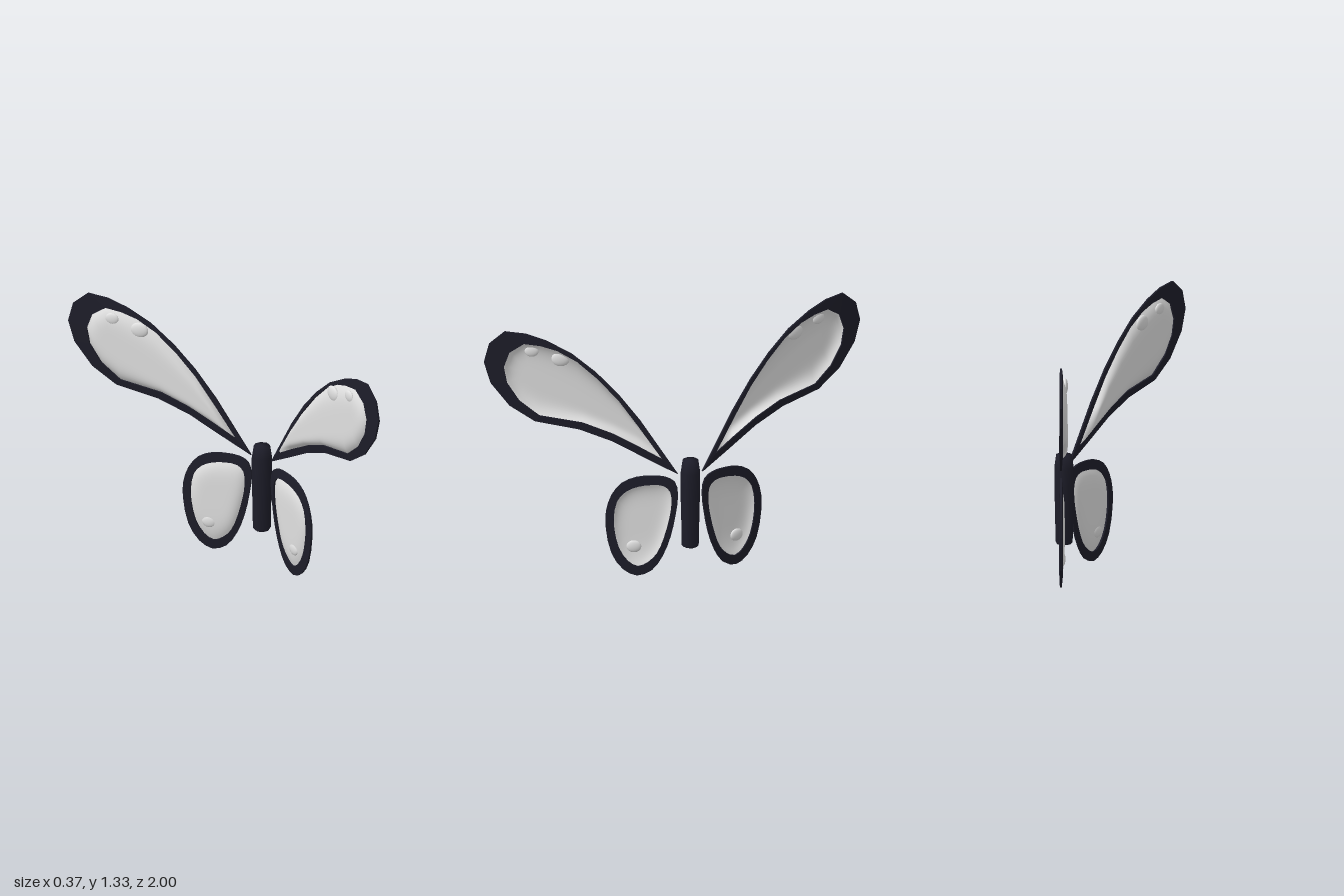
import * as THREE from 'three';

// Round off a closed outline with twice as many points
function smooth(points) {
  const curve = new THREE.CatmullRomCurve3(points.map(([u, v]) => new THREE.Vector3(u, v, 0)), true);
  const n = points.length * 2;
  return Array.from({ length: n }, (_, i) => curve.getPoint(i / n).toArray());
}

// Outlines as [distance from body, height], running over the top, outwards and back below
const UPPER = {
  outer: [[.065, .556], [.246, .845], [.353, .99], [.46, 1.107], [.578, 1.209], [.7, 1.278], [.8, 1.315], [.9, 1.327],
    [.975, 1.26], [1, 1.16], [.968, 1.048], [.877, .925], [.754, .84], [.54, .797], [.38, .733], [.22, .642]],
  inner: [[.139, .636], [.257, .818], [.348, .952], [.449, 1.07], [.551, 1.166], [.647, 1.225], [.727, 1.251], [.807, 1.262],
    [.877, 1.214], [.904, 1.134], [.888, 1.048], [.829, .952], [.733, .872], [.524, .834], [.38, .775], [.246, .7]],
  spine: [[.3, .81], [.78, 1.08]], cup: [.036, .03],
  spots: [[.77, 1.213, .034, -.021], [.63, 1.172, .045, -.021]],
};
const LOWER = {
  outer: smooth([[.267, .537], [.337, .503], [.385, .439], [.412, .348], [.412, .257], [.385, .123], [.33, .037], [.262, .002],
    [.19, .032], [.139, .107], [.1, .214], [.075, .337], [.064, .444], [.08, .513], [.128, .54], [.19, .545]]),
  inner: smooth([[.257, .487], [.315, .46], [.358, .406], [.374, .31], [.369, .24], [.348, .15], [.305, .08], [.257, .053],
    [.209, .075], [.166, .123], [.134, .203], [.107, .31], [.096, .39], [.102, .46], [.134, .492], [.19, .497]]),
  spine: [[.22, .3], [.26, .3]], cup: [.02, .02],
  spots: [[.277, .155, .036, -.012]],
};

// Swept-back wing plane: u outwards, v up, w along the plane normal, s the side
const place = (u, v, w, s) => [.153 - .333 * u + .949 * w, v, s * (u + .316 * w)];

// Skin a ring of rows; every row is a closed or open list across the strip
function skin(rows, side, closed) {
  const n = rows.length, m = rows[0].length, index = [];
  for (let j = 0; j < n; j++) {
    for (let k = 0; k < (closed ? m : m - 1); k++) {
      const j2 = (j + 1) % n, k2 = (k + 1) % m;
      const a = j * m + k, b = j2 * m + k, c = j2 * m + k2, d = j * m + k2;
      if (side > 0) index.push(a, b, c, a, c, d);
      else index.push(a, c, b, a, d, c);
    }
  }
  const geometry = new THREE.BufferGeometry();
  geometry.setAttribute('position', new THREE.Float32BufferAttribute(rows.flat(2), 3));
  geometry.setIndex(index);
  return geometry;
}

// Dark border with a thin outer edge
function rimGeometry({ outer, inner }, s) {
  const rows = outer.map(([u, v], j) => {
    const [iu, iv] = inner[j];
    return [place(u, v, .005, s), place(iu, iv, .008, s), place(iu, iv, -.01, s), place(u, v, -.005, s)];
  });
  const geometry = skin(rows, s, true).toNonIndexed();
  geometry.computeVertexNormals();
  return geometry;
}

// Cupped sheet that sinks from the border to a flat-bottomed central spine
function membraneGeometry({ inner, spine: [p, q], cup }, s) {
  const steps = 12;
  const rows = inner.map(([u, v]) => {
    const f = THREE.MathUtils.clamp((u - p[0]) / (q[0] - p[0]), 0, 1);
    const cu = p[0] + (q[0] - p[0]) * f, cv = p[1] + (q[1] - p[1]) * f;
    const depth = cup[0] + (cup[1] - cup[0]) * f;
    return Array.from({ length: steps + 1 }, (_, i) => {
      const t = 1 - i / steps;
      return place(cu + (u - cu) * t, cv + (v - cv) * t, -depth * (1 - t ** 5), s);
    });
  });
  const geometry = skin(rows, s, false);
  geometry.computeVertexNormals();
  return geometry;
}

export function createModel() {
  const dark = new THREE.MeshStandardMaterial({ color: 0x1d1d29 });
  dark.name = 'dark body';
  const pale = new THREE.MeshStandardMaterial({ color: 0xe0e0e0, side: THREE.DoubleSide });
  pale.name = 'pale membrane';

  const model = new THREE.Group();
  model.name = 'butterfly';
  const add = (parent, name, geometry, material) => {
    const mesh = new THREE.Mesh(geometry, material);
    mesh.name = name;
    parent.add(mesh);
    return mesh;
  };

  // Eight-sided body, slightly narrower at the ends
  const profile = [[0, .15], [.036, .157], [.046, .168], [.048, .3], [.052, .45], [.052, .56], [.042, .626], [0, .63]];
  const body = add(model, 'body', new THREE.LatheGeometry(profile.map(([r, y]) => new THREE.Vector2(r, y)), 8), dark);
  body.position.x = .135;

  // Two pairs of wings
  for (const s of [1, -1]) {
    for (const [name, shape] of [['upperWing', UPPER], ['lowerWing', LOWER]]) {
      const wing = new THREE.Group();
      wing.name = name + (s > 0 ? 'Front' : 'Back');
      model.add(wing);
      add(wing, 'rim', rimGeometry(shape, s), dark);
      add(wing, 'membrane', membraneGeometry(shape, s), pale);
      // Flattened beads set into the membrane
      for (const [u, v, r, w] of shape.spots) {
        const spot = add(wing, 'spot', new THREE.SphereGeometry(r, 20, 14), pale);
        spot.position.set(...place(u, v, w, s));
        spot.scale.set(1.05, .9, .33);
        spot.rotation.y = Math.atan2(.949, .316 * s);
      }
    }
  }
  return model;
}
